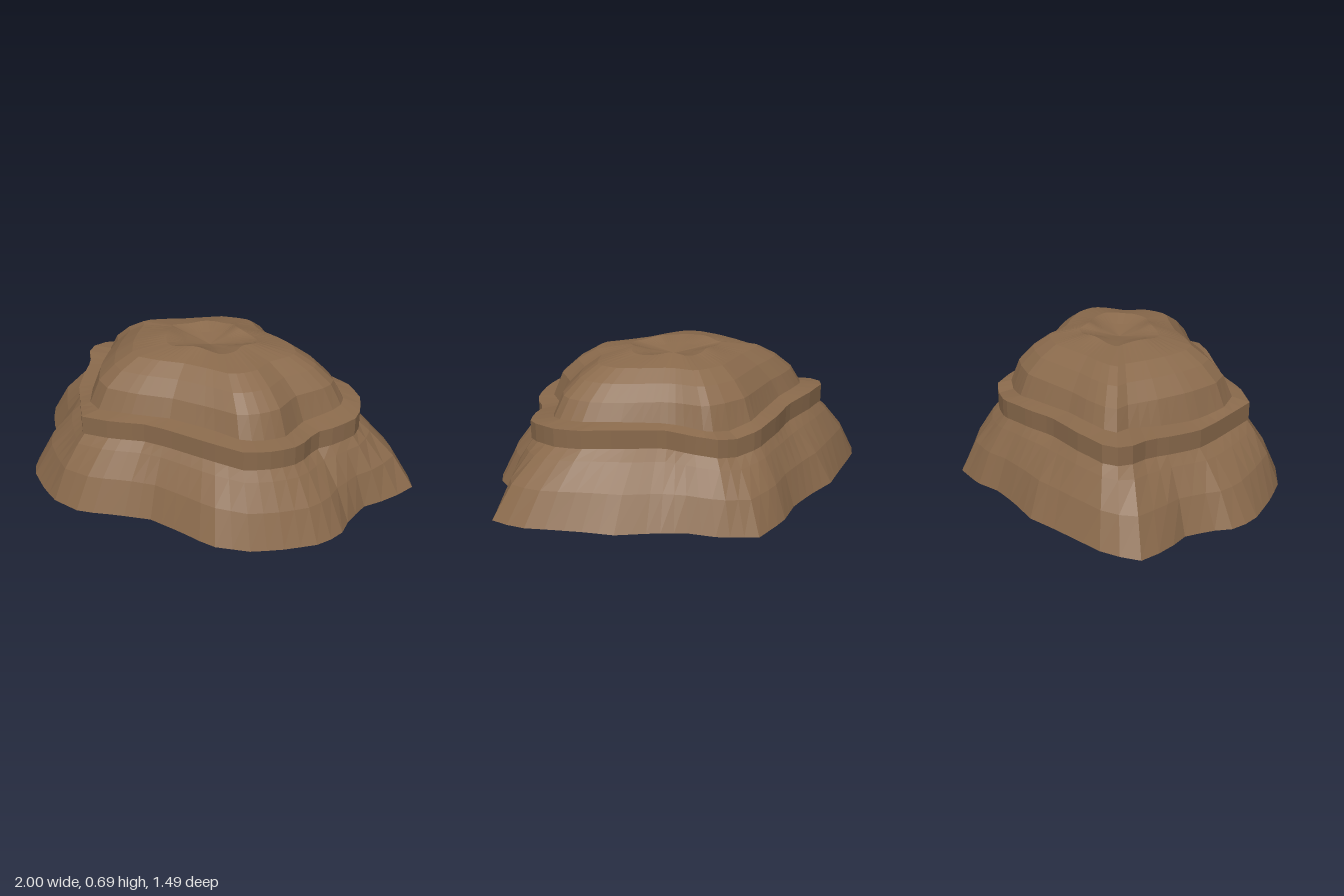
import * as THREE from 'three';

const SEG = 72;

// Half outline of the wavy brim edge, back to front: x, z, height
const half = [
  [0, -0.75, 0], [0.17, -0.69, 0.015], [0.29, -0.6, 0.025], [0.43, -0.54, 0.03],
  [0.58, -0.49, 0.035], [0.7, -0.4, 0.04], [0.82, -0.31, 0.04], [0.93, -0.22, 0.035],
  [1, -0.09, 0.03], [0.93, 0.04, 0.02], [0.83, 0.15, 0.012], [0.8, 0.28, 0.004],
  [0.8, 0.4, 0], [0.73, 0.51, 0.002], [0.62, 0.61, 0.01], [0.5, 0.7, 0.02],
  [0.33, 0.75, 0.03], [0.17, 0.71, 0.032], [0, 0.68, 0.035],
];
const rimLoop = [...half, ...half.slice(1, -1).map(([x, z, y]) => [-x, z, y])];

// Uneven outline of the band
const bandLoop = [
  [0, -0.55], [0.09, -0.55], [0.19, -0.47], [0.27, -0.37], [0.46, -0.3], [0.62, -0.22],
  [0.7, -0.13], [0.74, -0.02], [0.74, 0.07], [0.68, 0.17], [0.61, 0.24], [0.59, 0.38],
  [0.52, 0.48], [0.41, 0.57], [0.25, 0.57], [0.05, 0.55], [-0.1, 0.54], [-0.25, 0.575],
  [-0.4, 0.57], [-0.5, 0.42], [-0.6, 0.27], [-0.65, 0.13], [-0.68, 0.02], [-0.75, -0.08],
  [-0.75, -0.17], [-0.58, -0.28], [-0.4, -0.36], [-0.28, -0.45], [-0.12, -0.54],
];

// Outline where the crown meets the ledge of the band
const crownLoop = [
  [0, -0.48], [0.11, -0.48], [0.2, -0.37], [0.26, -0.32], [0.42, -0.25], [0.56, -0.17],
  [0.64, -0.07], [0.65, 0.02], [0.6, 0.1], [0.53, 0.2], [0.51, 0.36], [0.46, 0.43],
  [0.37, 0.5], [0.2, 0.48], [0, 0.47], [-0.2, 0.5], [-0.35, 0.5], [-0.44, 0.43],
  [-0.52, 0.27], [-0.57, 0.1], [-0.6, -0.05], [-0.65, -0.13], [-0.52, -0.22],
  [-0.4, -0.28], [-0.25, -0.38], [-0.13, -0.46],
];

// Resample an outline at even angles, keeping straight sides between its corners
function resample(loop) {
  const pts = loop.map(([x, z, y = 0]) => ({ x, z, y, a: (Math.atan2(x, z) + 2 * Math.PI) % (2 * Math.PI) }))
    .sort((p, q) => p.a - q.a);
  return Array.from({ length: SEG }, (_, i) => {
    const a = (i / SEG) * Math.PI * 2;
    let k = pts.findIndex((p) => p.a > a + 1e-9);
    if (k < 0) k = 0;
    const p = pts[(k + pts.length - 1) % pts.length], q = pts[k];
    const dx = Math.sin(a), dz = Math.cos(a);
    const ex = q.x - p.x, ez = q.z - p.z;
    const r = (p.x * ez - p.z * ex) / (dx * ez - dz * ex);
    const t = Math.hypot(dx * r - p.x, dz * r - p.z) / Math.hypot(ex, ez);
    return new THREE.Vector3(dx * r, p.y + (q.y - p.y) * t, dz * r);
  });
}

// Skin a stack of rings from bottom to top
function loft(rings, material, name) {
  const pos = rings.flat().flatMap((v) => [v.x, v.y, v.z]);
  const index = [];
  for (let i = 0; i < rings.length - 1; i++) {
    for (let j = 0; j < SEG; j++) {
      const k = (j + 1) % SEG;
      const a = i * SEG + j, b = i * SEG + k, c = a + SEG, d = b + SEG;
      index.push(a, b, d, a, d, c);
    }
  }
  const geo = new THREE.BufferGeometry();
  geo.setAttribute('position', new THREE.Float32BufferAttribute(pos, 3));
  geo.setIndex(index);
  const flat = geo.toNonIndexed();
  flat.computeVertexNormals();
  const mesh = new THREE.Mesh(flat, material);
  mesh.name = name;
  return mesh;
}

export function createModel() {
  const brown = new THREE.MeshStandardMaterial({ color: 0x8a6a4c, side: THREE.DoubleSide });
  brown.name = 'brown felt';
  const rim = resample(rimLoop), band = resample(bandLoop), base = resample(crownLoop);
  // Every level follows the wave of the brim edge
  const level = (loop, y, s = 1, wave = 1) =>
    loop.map((v, i) => new THREE.Vector3(v.x * s, y + rim[i].y * wave, v.z * s));

  // Brim: flares out and down with a slight bulge
  const neck = level(band, 0.31, 0.985);
  const brimRing = (t, h) => rim.map((v, i) => new THREE.Vector3(
    THREE.MathUtils.lerp(v.x, neck[i].x, t),
    THREE.MathUtils.lerp(v.y, neck[i].y, h),
    THREE.MathUtils.lerp(v.z, neck[i].z, t)));
  const brim = loft([rim, brimRing(0.36, 0.49), brimRing(0.78, 0.85), neck], brown, 'brim');

  // Band: upright wall with a narrow ledge on top
  const ledge = level(base, 0.412);
  const bandMesh = loft([neck, level(band, 0.31), level(band, 0.397), ledge], brown, 'band');

  // Crown: rounded shoulders, five-lobed top and a shallow dent
  const dome = (s, y, wave = 0) => base.map((v, i) => {
    const a = (i / SEG) * Math.PI * 2;
    return new THREE.Vector3(v.x * s, y + wave * Math.cos(5 * a), v.z * s + 0.04 * (1 - s));
  });
  const crown = loft([
    ledge, dome(0.92, 0.53), dome(0.79, 0.6), dome(0.64, 0.653), dome(0.36, 0.683, 0.006),
    dome(0.2, 0.662), dome(0.001, 0.64),
  ], brown, 'crown');

  const group = new THREE.Group();
  group.name = 'hat';
  group.add(brim, bandMesh, crown);
  return group;
}
